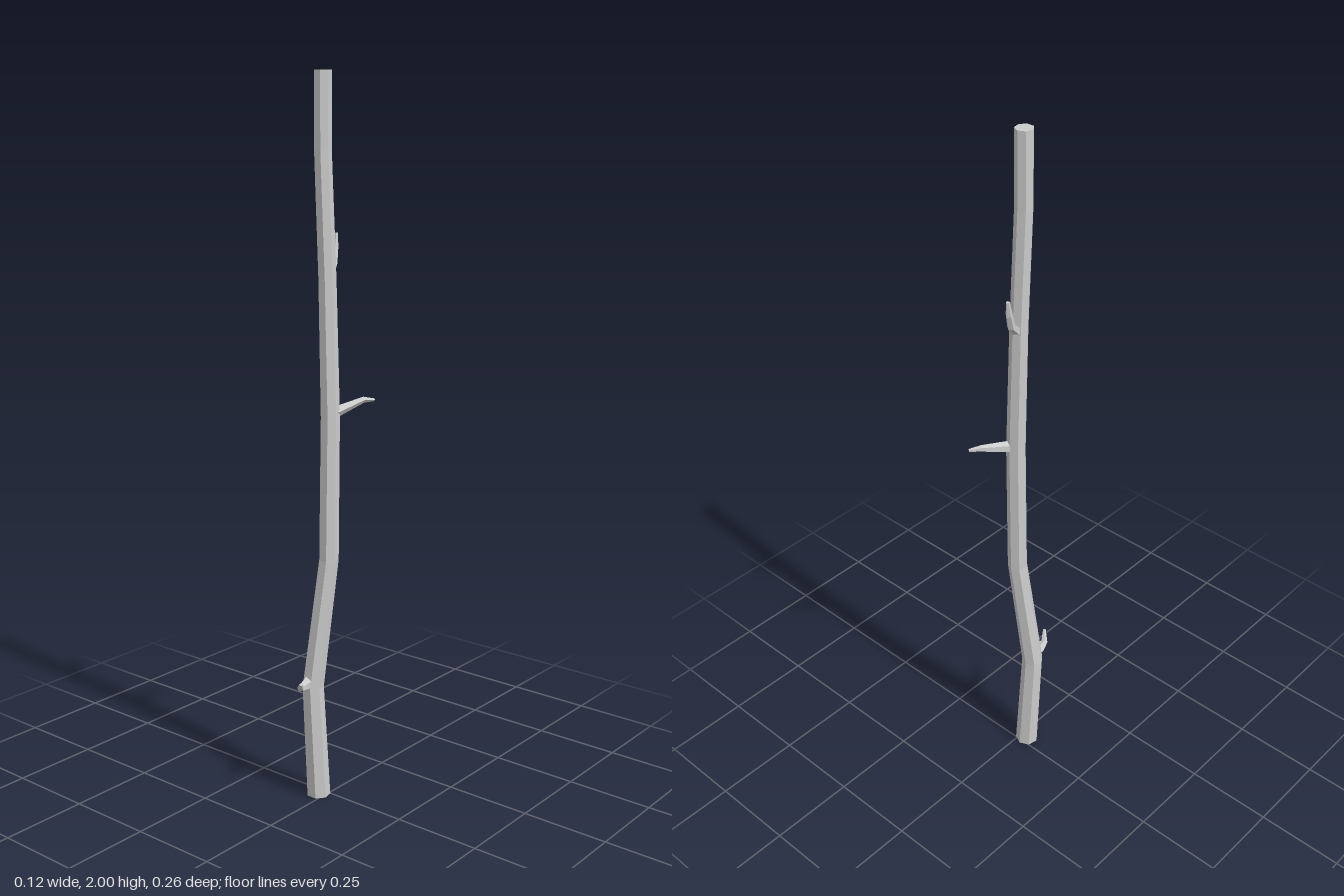
import * as THREE from 'three';

const V = (x, y, z) => new THREE.Vector3(x, y, z);

// Closed loft through rings [x, y, z, radius]; ref sets the first corner's direction,
// and a fixed axis keeps every ring parallel.
function loft(rings, sides, ref, axis) {
  const pts = rings.map(([x, y, z]) => V(x, y, z));
  const n = rings.length;
  const pos = [];
  pts.forEach((p, i) => {
    const t = axis ?? pts[Math.min(i + 1, n - 1)].clone().sub(pts[Math.max(i - 1, 0)]).normalize();
    const u = ref.clone().addScaledVector(t, -ref.dot(t)).normalize();
    const v = t.clone().cross(u);
    for (let k = 0; k < sides; k++) {
      const a = (k / sides) * Math.PI * 2;
      const q = p.clone()
        .addScaledVector(u, Math.cos(a) * rings[i][3])
        .addScaledVector(v, Math.sin(a) * rings[i][3]);
      pos.push(q.x, q.y, q.z);
    }
  });
  const index = [];
  const id = (i, k) => i * sides + (k % sides);
  for (let i = 0; i < n - 1; i++) {
    for (let k = 0; k < sides; k++) {
      const a = id(i, k), b = id(i, k + 1), c = id(i + 1, k + 1), d = id(i + 1, k);
      index.push(a, b, c, a, c, d);
    }
  }
  // End caps
  for (let k = 1; k < sides - 1; k++) {
    index.push(id(0, 0), id(0, k + 1), id(0, k));
    index.push(id(n - 1, 0), id(n - 1, k), id(n - 1, k + 1));
  }
  const indexed = new THREE.BufferGeometry();
  indexed.setAttribute('position', new THREE.Float32BufferAttribute(pos, 3));
  indexed.setIndex(index);
  const geo = indexed.toNonIndexed();
  geo.computeVertexNormals();
  return geo;
}

export function createModel() {
  const group = new THREE.Group();
  const bark = new THREE.MeshStandardMaterial({ color: 0xcccccc, flatShading: true });
  const add = (name, geo) => {
    const mesh = new THREE.Mesh(geo, bark);
    mesh.name = name;
    group.add(mesh);
  };

  // Gently crooked seven-sided stem
  add('stem', loft([
    [-0.021, 0, 0.022, 0.034],
    [-0.03, 0.33, 0.035, 0.031],
    [0, 0.7, 0.002, 0.028],
    [0, 1.1, -0.004, 0.027],
    [-0.01, 1.47, -0.004, 0.025],
    [-0.019, 1.8, 0.003, 0.024],
    [-0.018, 2, 0.004, 0.024],
  ], 7, V(0, 0, -1), V(0, 1, 0)));

  // Short tapering twigs, each rooted inside the stem
  const twigs = {
    lowerTwig: [
      [-0.03, 0.352, 0.045, 0.018], [-0.028, 0.346, 0.065, 0.016],
      [-0.019, 0.347, 0.1, 0.01], [0.001, 0.37, 0.123, 0.004],
    ],
    middleTwig: [
      [0.008, 1.112, -0.015, 0.017], [0.013, 1.117, -0.035, 0.015],
      [0.036, 1.136, -0.103, 0.009], [0.055, 1.134, -0.128, 0.004],
    ],
    upperTwig: [
      [-0.014, 1.475, -0.015, 0.014], [-0.02, 1.483, -0.03, 0.013],
      [-0.028, 1.505, -0.053, 0.011], [-0.033, 1.545, -0.066, 0.009],
      [-0.034, 1.584, -0.072, 0.005],
    ],
  };
  for (const [name, rings] of Object.entries(twigs)) {
    const [a, b] = [rings[0], rings[rings.length - 1]];
    const side = V(b[0] - a[0], 0, b[2] - a[2]).cross(V(0, 1, 0)).normalize();
    add(name, loft(rings, 5, side));
  }
  return group;
}
